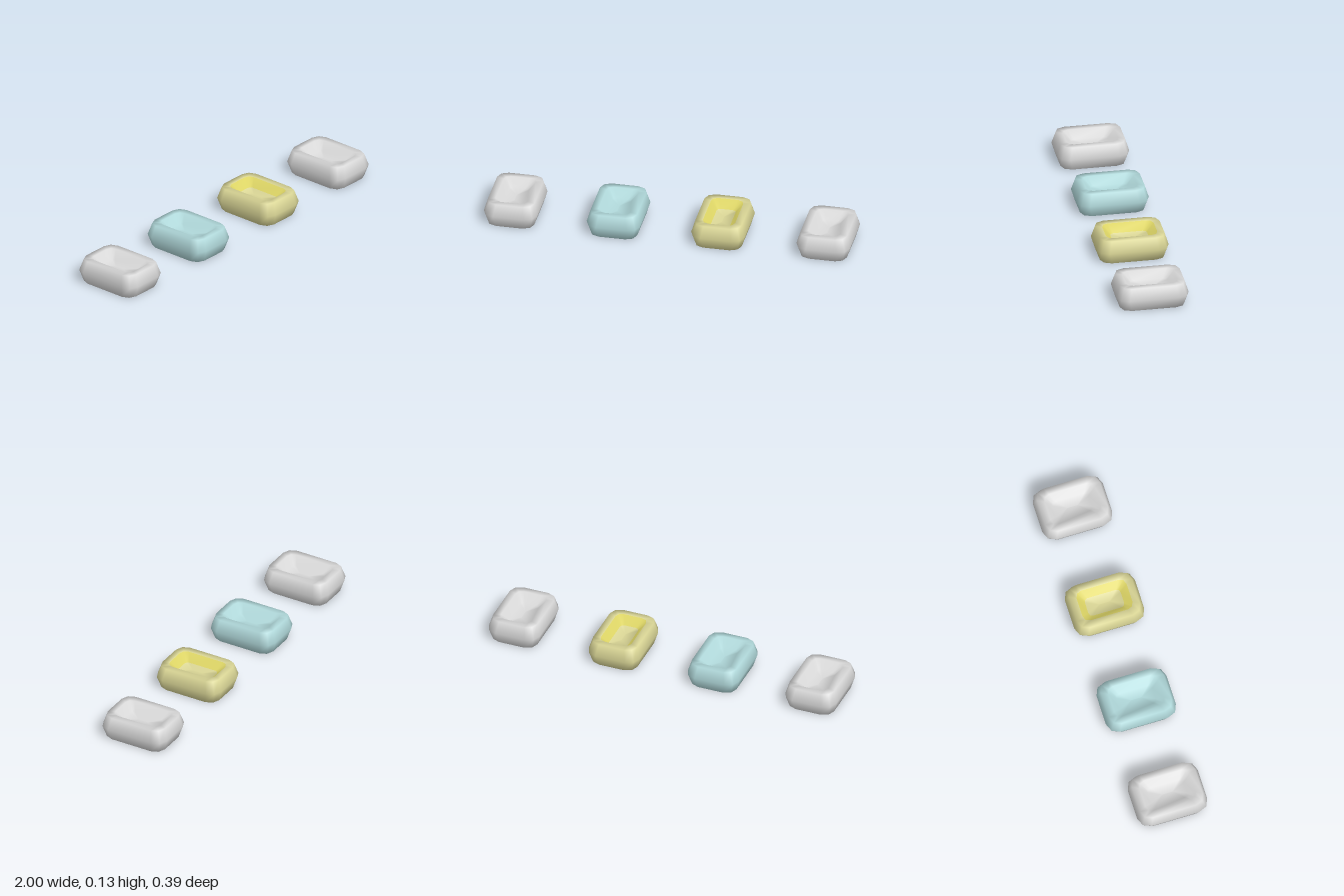
import * as THREE from 'three';

const flat = (name, color) => {
  const m = new THREE.MeshStandardMaterial({ color });
  m.name = name;
  return m;
};

// Twelve points of a rectangle with rounded corners
function outline(hx, hz, r) {
  const points = [];
  for (let q = 0; q < 4; q++) {
    const sx = q === 0 || q === 3 ? 1 : -1;
    const sz = q < 2 ? 1 : -1;
    for (let k = 0; k < 3; k++) {
      const a = (q + k / 2) * Math.PI / 2;
      points.push([sx * (hx - r) + r * Math.cos(a), sz * (hz - r) + r * Math.sin(a)]);
    }
  }
  return points;
}

// Half profile from the waist up to the dish floor: half width, half length, corner radius, height
const upper = [
  [0.127, 0.176, 0.055, 0.13],
  [0.088, 0.140, 0.035, 0.13],
  [0.052, 0.100, 0.020, 0.088],
  [0.001, 0.030, 0.001, 0.084],
];
const lower = upper.map(([x, z, r, y]) => [x, z, r, 0.13 - y]).reverse();
const rings = [...lower, [0.146, 0.196, 0.062, 0.065], ...upper];

// Pillow-shaped block, dished above and below; group 1 is the dish wall
function blockGeometry() {
  const n = 12, pos = [], index = [];
  const geo = new THREE.BufferGeometry();
  for (const [hx, hz, r, y] of rings) {
    for (const [x, z] of outline(hx, hz, r)) pos.push(x, y, z);
  }
  for (let i = 0; i < rings.length - 1; i++) {
    const start = index.length;
    for (let j = 0; j < n; j++) {
      const a = i * n + j, b = i * n + (j + 1) % n;
      index.push(a, a + n, b, b, a + n, b + n);
    }
    const isWall = i === 1 || i === rings.length - 3;
    geo.addGroup(start, index.length - start, isWall ? 1 : 0);
  }
  // Close the narrow middle of each dish floor
  const start = index.length, top = (rings.length - 1) * n;
  for (let j = 1; j < n - 1; j++) {
    index.push(0, j, j + 1, top, top + j + 1, top + j);
  }
  geo.addGroup(start, index.length - start, 0);
  geo.setAttribute('position', new THREE.Float32BufferAttribute(pos, 3));
  geo.setIndex(index);
  geo.computeVertexNormals();
  return geo;
}

export function createModel() {
  const group = new THREE.Group();
  const grey = flat('light grey', 0xd8d8d8);
  const teal = flat('pale teal', 0xb0d8da);
  const yellow = flat('pale yellow', 0xdad696);
  const bright = flat('bright yellow', 0xdcd465);
  const geo = blockGeometry();

  // Row of four equal blocks
  const row = [
    ['rightGreyBlock', -0.854, grey, grey],
    ['tealBlock', -0.292, teal, teal],
    ['yellowBlock', 0.279, yellow, bright],
    ['leftGreyBlock', 0.854, grey, grey],
  ];
  for (const [name, x, body, wall] of row) {
    const mesh = new THREE.Mesh(geo, [body, wall]);
    mesh.name = name;
    mesh.position.x = x;
    group.add(mesh);
  }
  return group;
}
